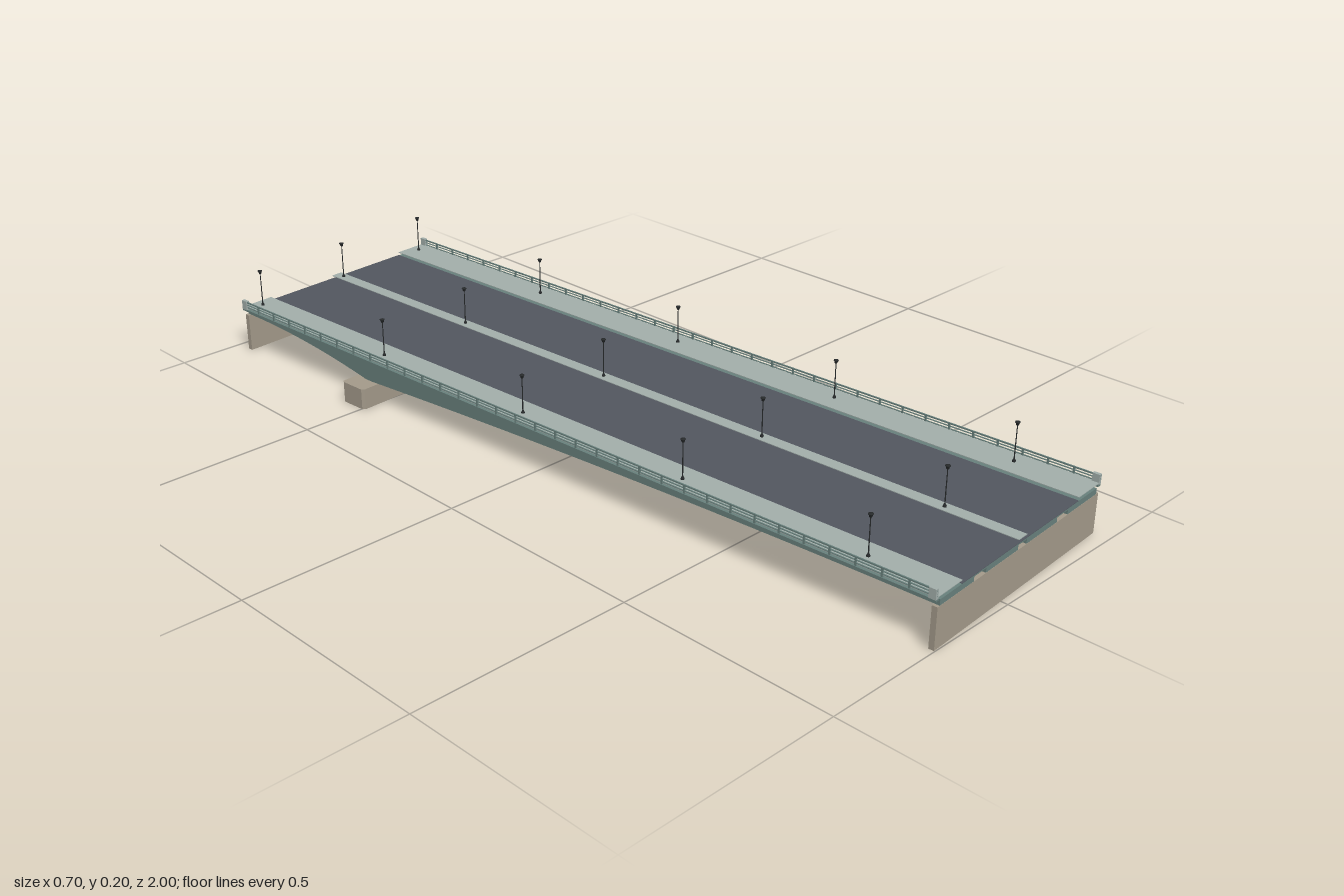
import * as THREE from 'three';

const HALF_LENGTH = 0.982, HALF_WIDTH = 0.2855, PIER_Z = -0.549;

const material = (color, extra = {}) => new THREE.MeshStandardMaterial({ color, ...extra });

export function createModel() {
  const stone = material(0xa39a8a), steel = material(0x68807c), paving = material(0xa2aeaa);
  const asphalt = material(0x52565f), dark = material(0x26292a), bronze = material(0x45423a);
  const bridge = new THREE.Group();
  bridge.name = 'bridge';
  bridge.rotation.y = 0.0613; // the deck lies slightly askew

  const add = (name, geometry, mat, x = 0, y = 0, z = 0, parent = bridge) => {
    const mesh = new THREE.Mesh(geometry, mat);
    mesh.name = name;
    mesh.position.set(x, y, z);
    parent.add(mesh);
    return mesh;
  };
  // Box given by centre x, bottom y, top y, centre z and its width and length
  const box = (name, mat, x, y0, y1, z, w, l, parent) =>
    add(name, new THREE.BoxGeometry(w, y1 - y0, l), mat, x, (y0 + y1) / 2, z, parent);

  // Haunched girders: side profile (z, y) extruded across x
  const profile = new THREE.Shape();
  profile.moveTo(-HALF_LENGTH, 0.1);
  const haunch = (end, t) => 0.09 - 0.042 * t * t;
  const steps = 20;
  for (let i = 0; i <= steps; i++) {
    const t = i / steps;
    profile.lineTo(THREE.MathUtils.lerp(-HALF_LENGTH, PIER_Z, t), haunch(-1, t));
  }
  for (let i = 1; i <= steps; i++) {
    const t = i / steps;
    profile.lineTo(THREE.MathUtils.lerp(PIER_Z, HALF_LENGTH, t), haunch(1, 1 - t));
  }
  profile.lineTo(HALF_LENGTH, 0.1);
  const girder = new THREE.ExtrudeGeometry(profile, { depth: 0.11, bevelEnabled: false });
  girder.translate(0, 0, -0.055);
  girder.rotateY(-Math.PI / 2); // profile x becomes z
  for (const x of [-0.22, -0.07, 0.07, 0.22]) add('girder', girder, steel, x);

  // Deck slab, roadways, raised walks and median
  const length = HALF_LENGTH * 2;
  box('deckSlab', steel, 0, 0.1, 0.103, 0, 0.55, length);
  for (const side of [-1, 1]) {
    box('roadway', asphalt, side * 0.11, 0.103, 0.104, 0, 0.19, length);
    box('sidewalk', paving, side * 0.2455, 0.11, 0.1115, 0, 0.081, length);
    box('edgeBeam', steel, side * 0.2845, 0.103, 0.1072, 0, 0.009, length);
  }
  box('roadCentre', asphalt, 0, 0.103, 0.104, 0, 0.03, length);
  box('median', paving, 0, 0.11, 0.1115, 0, 0.029, length);

  // Railings with end posts, rails and evenly spaced balusters
  for (const side of [-1, 1]) {
    const railing = new THREE.Group();
    railing.name = 'railing';
    railing.position.x = side * (HALF_WIDTH + 0.0005);
    bridge.add(railing);
    for (const y of [0.1125, 0.1185, 0.124])
      box('rail', steel, 0, y, y + (y > 0.12 ? 0.003 : 0.0015), 0, 0.003, length, railing);
    const count = 34;
    for (let i = 1; i < count; i++)
      box('railPost', steel, 0, 0.107, 0.126, -HALF_LENGTH + (length * i) / count, 0.003, 0.004, railing);
    for (const end of [-1, 1])
      box('endPost', paving, 0, 0.107, 0.129, end * (HALF_LENGTH - 0.008), 0.008, 0.016, railing);
  }

  // Street lamps in three rows
  const lampProfile = [
    [0, 0], [0.004, 0], [0.004, 0.002], [0.0022, 0.006], [0.0013, 0.008], [0.001, 0.08],
    [0.003, 0.082], [0.004, 0.086], [0.0055, 0.0875], [0.0055, 0.089], [0, 0.09],
  ].map(([r, y]) => new THREE.Vector2(r, y));
  const lamp = new THREE.LatheGeometry(lampProfile, 8);
  for (const x of [-0.25, 0, 0.25])
    for (let i = 0; i < 5; i++) add('streetLamp', lamp, dark, x, 0.1112, 0.811 - i * 0.4415);

  // Abutments
  for (const end of [-1, 1])
    box('abutment', stone, 0, 0, 0.09, end * (HALF_LENGTH - 0.0055), 0.565, 0.012);

  // Pier with chamfered ends
  const plan = new THREE.Shape([
    [-0.319, -0.03], [-0.314, -0.036], [0.308, -0.036], [0.312, -0.028], [0.336, -0.028], [0.341, -0.022],
    [0.341, 0.022], [0.336, 0.028], [0.312, 0.028], [0.308, 0.036], [-0.314, 0.036], [-0.319, 0.03],
  ].map(([x, z]) => new THREE.Vector2(x, z)));
  const pier = new THREE.ExtrudeGeometry(plan, { depth: 0.049, bevelEnabled: false });
  pier.rotateX(-Math.PI / 2);
  add('pier', pier, stone, 0, 0, PIER_Z);

  // Small figure on the projecting pier end
  const statue = new THREE.Group();
  statue.name = 'statue';
  statue.position.set(0.315, 0.049, PIER_Z);
  bridge.add(statue);
  box('plinth', bronze, 0, 0, 0.008, 0, 0.024, 0.024, statue);
  const robe = [[0.01, 0.008], [0.008, 0.018], [0.0055, 0.026], [0.0075, 0.034], [0.002, 0.038], [0, 0.038]];
  add('statueBody', new THREE.LatheGeometry(robe.map(([r, y]) => new THREE.Vector2(r, y)), 12), bronze, 0, 0, 0, statue);
  add('statueHead', new THREE.SphereGeometry(0.004, 10, 8), bronze, 0, 0.041, 0, statue);
  for (const side of [-1, 1]) {
    const arm = add('statueArm', new THREE.CapsuleGeometry(0.0018, 0.012, 3, 6), bronze, 0, 0.027, side * 0.0075, statue);
    arm.rotation.x = -side * 0.3;
  }

  const model = new THREE.Group();
  model.name = 'model';
  model.add(bridge);
  return model;
}
